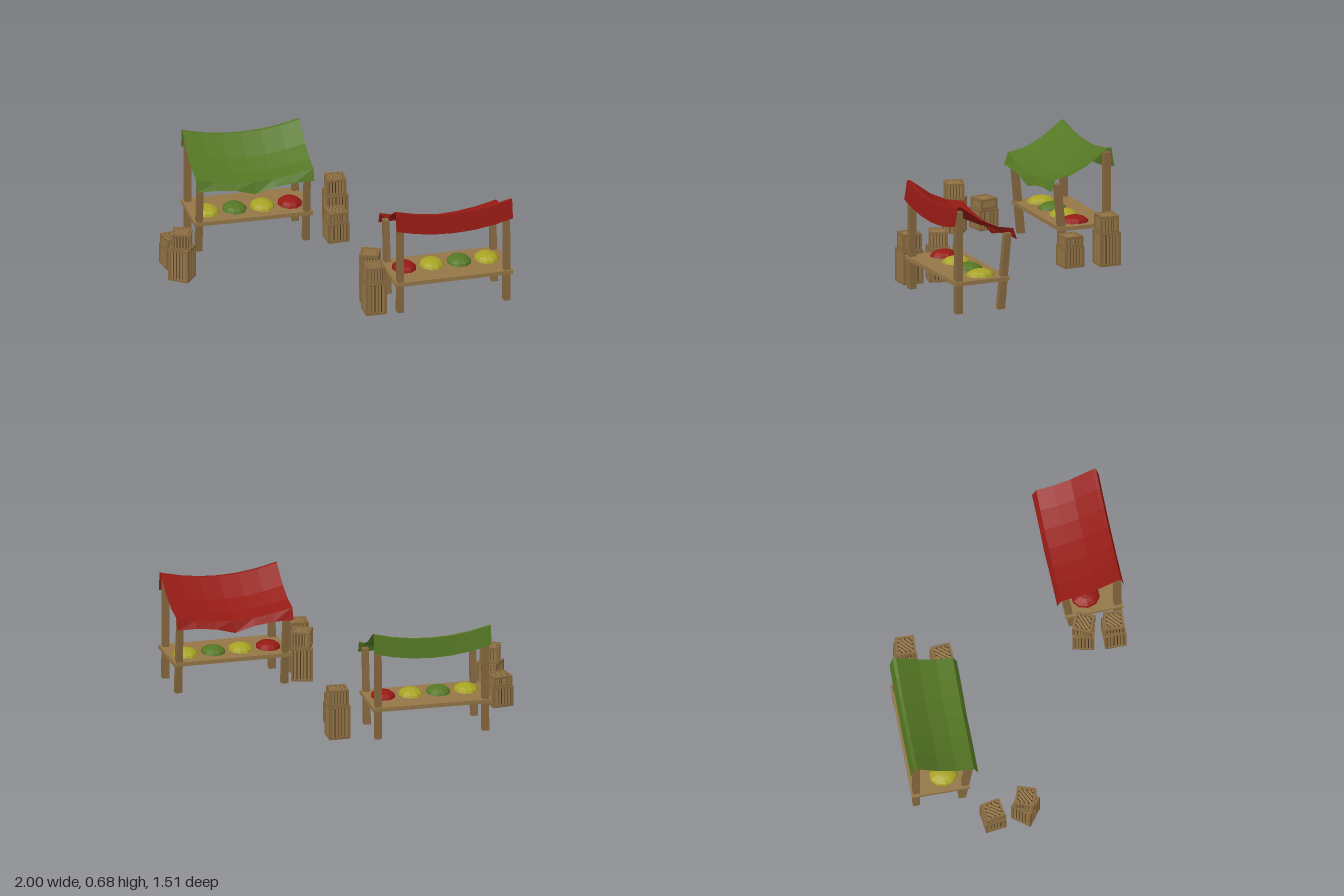
import * as THREE from 'three';

const mat = (color, extra = {}) => {
  const m = new THREE.MeshStandardMaterial({ flatShading: true, ...extra });
  m.color.set(color);
  return m;
};
const wood = mat(0x86683f);
const plank = mat(0x947647);
const darkWood = mat(0x45341f);
const RED = 0x951a14, GREEN = 0x557724, YELLOW = 0xa8a324;

function add(parent, name, geometry, material, x = 0, y = 0, z = 0) {
  const mesh = new THREE.Mesh(geometry, material);
  mesh.name = name;
  mesh.position.set(x, y, z);
  parent.add(mesh);
  return mesh;
}

const box = (parent, name, w, h, d, material, x, y, z) =>
  add(parent, name, new THREE.BoxGeometry(w, h, d), material, x, y, z);

// Square post whose top is shifted along z
function post(parent, name, x, z, height, lean) {
  const g = new THREE.BoxGeometry(0.042, height, 0.044, 1, 3, 1).translate(0, height / 2, 0);
  const p = g.attributes.position;
  for (let i = 0; i < p.count; i++) {
    const t = p.getY(i) / height;
    p.setX(i, p.getX(i) * (1 - 0.15 * t));
    p.setZ(i, p.getZ(i) + lean * t);
  }
  g.computeVertexNormals();
  return add(parent, name, g, wood, x, 0, z);
}

// Cloth cross-section (z, y) from back flap to front flap
const CLOTH = [[-0.187, 0.56], [-0.168, 0.68], [-0.148, 0.68], [-0.01, 0.58],
  [0.1, 0.53], [0.207, 0.51], [0.233, 0.435]];

function canopy(color) {
  const width = 0.742, rows = CLOTH.length, cols = 6;
  const g = new THREE.PlaneGeometry(width, 1, cols, rows - 1);
  const p = g.attributes.position;
  for (let i = 0; i < p.count; i++) {
    const row = Math.floor(i / (cols + 1));
    const u = Math.abs(p.getX(i)) / (width / 2);
    const [z, y] = CLOTH[row];
    // The hem of the front flap is scalloped, everything else sags
    const height = row === rows - 1
      ? 0.385 + 0.05 * Math.sin(Math.min(1, 1.5 * u) * Math.PI / 2)
      : y - 0.053 * (1 - u * u);
    p.setY(i, height);
    p.setZ(i, z);
  }
  g.computeVertexNormals();
  return new THREE.Mesh(g, mat(color, { side: THREE.DoubleSide }));
}

function stall(name, clothColor, x, z, angle) {
  const s = new THREE.Group();
  s.name = name;
  s.position.set(x, 0, z);
  s.rotation.y = angle;
  box(s, 'counter', 0.748, 0.025, 0.362, plank, 0, 0.193, 0);
  for (const side of [-1, 1]) {
    post(s, 'backPost', side * 0.339, -0.15, 0.645, 0);
    post(s, 'frontPost', side * 0.339, 0.135, 0.475, 0.045);
  }
  const cloth = canopy(clothColor);
  cloth.name = 'canopy';
  s.add(cloth);
  // Heaps of produce on the counter
  [YELLOW, GREEN, YELLOW, RED].forEach((color, i) => {
    const heap = new THREE.SphereGeometry(1, 10, 4, 0, Math.PI * 2, 0, Math.PI / 2);
    heap.scale(0.077, 0.042, 0.09);
    add(s, 'produceHeap', heap, mat(color), -0.262 + i * 0.175, 0.204, 0.033);
  });
  return s;
}

// Slatted crate with a frame on every side and diagonal boards on the lid
function crate(name, size, height, y, angle) {
  const c = new THREE.Group();
  c.name = name;
  c.position.y = y;
  c.rotation.y = angle;
  const half = size / 2, f = 0.014, inner = size - 2 * f;
  box(c, 'core', size - 0.016, height - 0.012, size - 0.016, darkWood, 0, height / 2, 0);
  for (let k = 0; k < 4; k++) {
    const side = new THREE.Group();
    side.name = 'crateSide';
    side.rotation.y = k * Math.PI / 2;
    c.add(side);
    box(side, 'cornerPost', f, height, f, wood, half - f / 2, height / 2, half - f / 2);
    for (const ry of [f / 2, height - f / 2])
      box(side, 'rail', inner, f, f, wood, 0, ry, half - f / 2);
    const n = 5, step = inner / n;
    for (let i = 0; i < n; i++)
      box(side, 'slat', step * 0.72, height - 2 * f, 0.006, plank,
        (i - (n - 1) / 2) * step, height / 2, half - 0.006);
  }
  const lid = new THREE.Group();
  lid.name = 'lid';
  lid.rotation.y = Math.PI / 4;
  c.add(lid);
  for (let i = -3; i <= 3; i++) {
    const d = i * 0.019;
    const length = 2 * (inner * Math.SQRT1_2 - Math.abs(d) - 0.003);
    if (length > 0.01) box(lid, 'lidBoard', length, 0.006, 0.014, plank, 0, height - 0.005, d);
  }
  return c;
}

function crateStack(x, z, tall, lowerAngle, upperAngle) {
  const s = new THREE.Group();
  s.name = 'crateStack';
  s.position.set(x, 0, z);
  const h = tall ? 0.212 : 0.13;
  s.add(crate('lowerCrate', 0.132, h, 0, lowerAngle));
  s.add(crate('upperCrate', 0.12, tall ? 0.103 : 0.065, h, upperAngle));
  return s;
}

export function createModel() {
  const model = new THREE.Group();
  model.name = 'marketStalls';
  model.add(
    stall('greenStall', GREEN, -0.388, -0.56, 0.015),
    stall('redStall', RED, 0.62, 0.55, Math.PI + 0.047),
    crateStack(-0.91, -0.053, true, -0.62, -0.3),
    crateStack(-0.923, -0.257, false, 0.15, 0.2),
    crateStack(0.182, -0.62, true, 0.03, -0.03),
    crateStack(0.136, -0.397, false, 0.08, 0.1),
    crateStack(0.152, 0.485, true, -0.2, -0.38),
    crateStack(0.136, 0.67, true, 0.03, -0.04),
  );
  return model;
}
